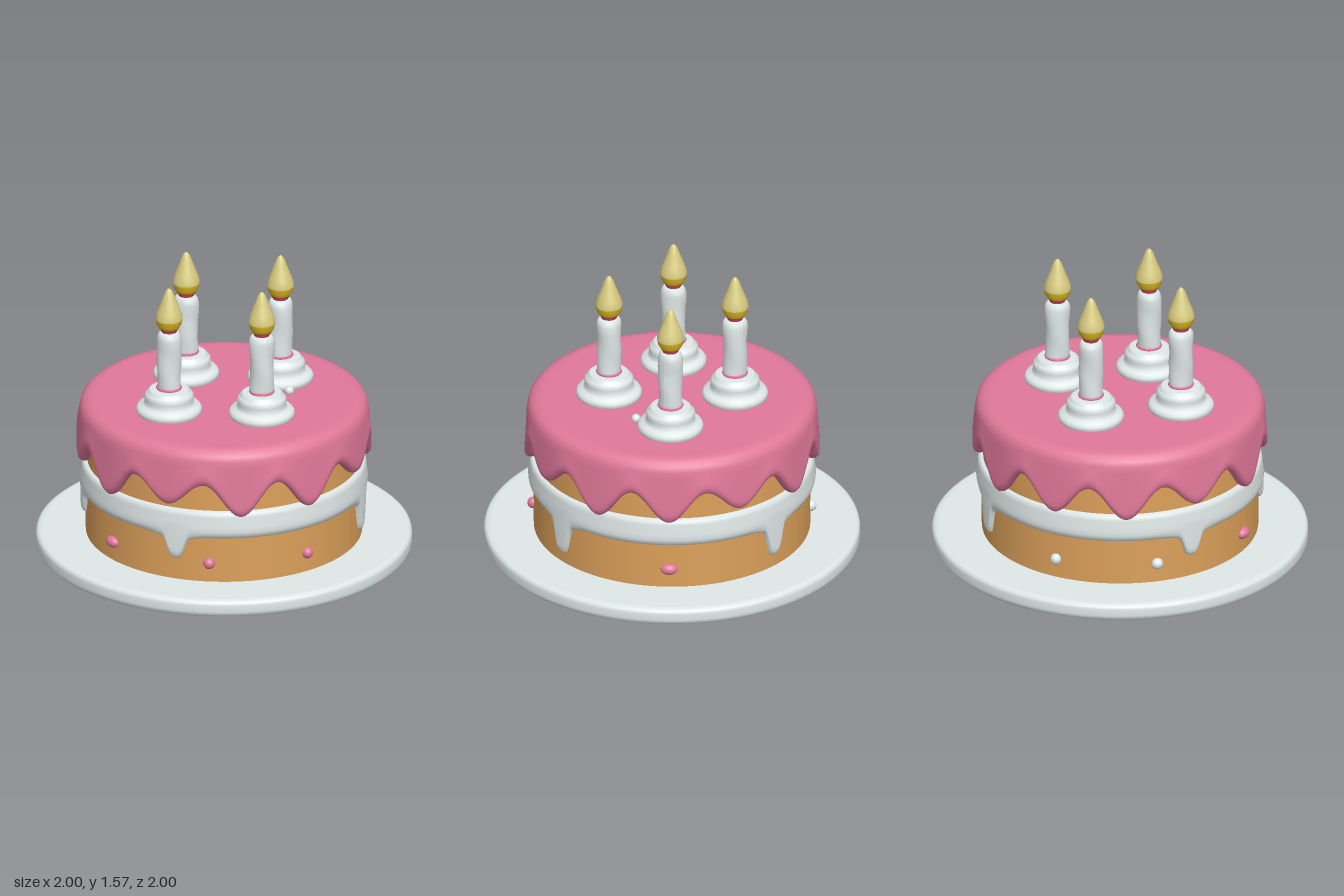
import * as THREE from 'three';

const mat = (name, color) => {
  const m = new THREE.MeshStandardMaterial({ color });
  m.name = name;
  return m;
};
const white = mat('cream white', 0xdfe7e7);
const pink = mat('frosting pink', 0xe0789a);
const sponge = mat('sponge orange', 0xdca05a);
const paleFlame = mat('pale flame', 0xd8cc80);
const yellow = mat('flame yellow', 0xe0bc20);
const red = mat('wick red', 0xd85060);

const rad = THREE.MathUtils.degToRad;

function add(parent, name, geometry, material) {
  const mesh = new THREE.Mesh(geometry, material);
  mesh.name = name;
  parent.add(mesh);
  return mesh;
}

// Turned solid; profile runs from bottom to top as [radius, height]
function turned(profile, segments = 48) {
  return new THREE.LatheGeometry(profile.map(([r, y]) => new THREE.Vector2(r, y)), segments);
}

// Ring of cross-sections whose profile (top to bottom) depends on the angle
function draped(profileAt, cols = 288) {
  const pos = [], index = [];
  let rows = 0;
  for (let j = 0; j < cols; j++) {
    const t = (j / cols) * Math.PI * 2;
    const profile = profileAt(t);
    rows = profile.length;
    for (const [r, y] of profile) pos.push(r * Math.sin(t), y, r * Math.cos(t));
  }
  for (let j = 0; j < cols; j++) {
    const k = (j + 1) % cols;
    for (let i = 0; i < rows - 1; i++) {
      const a = j * rows + i, b = a + 1, c = k * rows + i, d = c + 1;
      index.push(a, b, c, b, d, c);
    }
  }
  const g = new THREE.BufferGeometry();
  g.setAttribute('position', new THREE.Float32BufferAttribute(pos, 3));
  g.setIndex(index);
  g.computeVertexNormals();
  return g;
}

// Lower edge of the pink frosting: twelve rounded lobes of varied length
const lobeEnds = [0.48, 0.53, 0.475, 0.48, 0.54, 0.48, 0.49, 0.53, 0.48, 0.49, 0.48, 0.52];
function frostingEdge(t) {
  const u = (t / (Math.PI * 2)) * 12;
  const lobe = lobeEnds[Math.round(u) % 12];
  const wave = 0.5 + 0.5 * Math.cos(u * Math.PI * 2);
  return 0.655 - (0.655 - lobe) * wave;
}

// Lower edge of the cream band: four drips with flared roots [angle, length]
const drips = [[33, 0.13], [130, 0.19], [228, 0.18], [328, 0.13]];
function creamEdge(t) {
  let y = 0.345;
  for (const [angle, length] of drips) {
    let d = t - rad(angle);
    d = Math.abs(Math.atan2(Math.sin(d), Math.cos(d)));
    y -= length * (0.78 * Math.exp(-Math.pow(d / 0.07, 4)) + 0.22 * Math.exp(-Math.pow(d / 0.13, 2)));
  }
  return y;
}

function makeCandle(x, z, turn) {
  const g = new THREE.Group();
  g.name = 'candle';
  // Stepped cream swirl
  add(g, 'candleBase', turned([
    [0.165, 0.85], [0.175, 0.865], [0.175, 0.882], [0.165, 0.896], [0.14, 0.905], [0.128, 0.915],
    [0.13, 0.94], [0.13, 0.96], [0.12, 0.97], [0.112, 0.975], [0.11, 0.985], [0.1, 0.992], [0, 0.993],
  ]), white);
  add(g, 'candleRing', turned([[0.066, 0.99], [0.069, 0.997], [0.066, 1.006], [0.05, 1.008]], 32), pink);
  // Slightly lumpy wax
  const wax = turned([
    [0.062, 0.99], [0.064, 1.03], [0.062, 1.08], [0.065, 1.13], [0.063, 1.18], [0.066, 1.23],
    [0.067, 1.28], [0.062, 1.305], [0.05, 1.32], [0, 1.322],
  ], 32);
  const p = wax.attributes.position;
  for (let i = 0; i < p.count; i++) {
    const a = Math.atan2(p.getX(i), p.getZ(i));
    const s = 1 + 0.04 * Math.sin(2 * a + p.getY(i) * 24);
    p.setX(i, p.getX(i) * s);
    p.setZ(i, p.getZ(i) * s);
  }
  wax.computeVertexNormals();
  add(g, 'candleWax', wax, white);
  add(g, 'wick', turned([[0.04, 1.31], [0.041, 1.322], [0.054, 1.345]], 32), red);
  add(g, 'flameBase', turned([[0.054, 1.345], [0.066, 1.365], [0.072, 1.393]], 32), yellow);
  add(g, 'flame', turned([
    [0.072, 1.393], [0.071, 1.41], [0.062, 1.44], [0.048, 1.475], [0.035, 1.51], [0.021, 1.548],
    [0.01, 1.564], [0, 1.57],
  ], 32), paleFlame);
  g.position.set(x, 0, z);
  g.rotation.y = turn;
  return g;
}

export function createModel() {
  const model = new THREE.Group();
  model.name = 'birthdayCake';

  add(model, 'plate', turned([
    [0, 0], [0.96, 0], [0.985, 0.002], [0.997, 0.014], [1, 0.03], [1, 0.065], [0.996, 0.08],
    [0.984, 0.09], [0.96, 0.093], [0, 0.093],
  ], 96), white);

  add(model, 'spongeLower', new THREE.CylinderGeometry(0.735, 0.735, 0.36, 96, 1, true), sponge).position.y = 0.27;
  add(model, 'spongeUpper', new THREE.CylinderGeometry(0.724, 0.728, 0.32, 96, 1, true), sponge).position.y = 0.6;

  add(model, 'creamBand', draped((t) => {
    const b = creamEdge(t);
    return [[0.715, 0.5], [0.742, 0.5], [0.753, 0.49], [0.757, 0.47], [0.759, 0.44], [0.764, 0.41],
      [0.764, Math.min(0.385, b + 0.05)], [0.761, b + 0.025], [0.75, b + 0.006], [0.73, b]];
  }, 360), white);

  add(model, 'frosting', draped((t) => {
    const b = frostingEdge(t);
    return [[0, 0.857], [0.4, 0.857], [0.68, 0.857], [0.715, 0.853], [0.742, 0.842], [0.76, 0.822], [0.768, 0.795],
      [0.773, 0.76], [0.782, b + 0.075], [0.785, b + 0.045], [0.78, b + 0.02], [0.765, b + 0.004],
      [0.745, b], [0.72, b + 0.008]];
  }), pink);

  // Candles in a cross
  [[0, 0.365], [0.335, 0], [0, -0.375], [-0.335, 0]].forEach(([x, z], i) => model.add(makeCandle(x, z, i * 1.3)));

  // Small dab of cream beside the back candle
  const dab = add(model, 'creamDab', new THREE.SphereGeometry(0.025, 16, 12), white);
  dab.position.set(0.185, 0.87, -0.295);

  // Sugar pearls around the lower layer: angle, width, material
  [[0, 0.045, pink], [47, 0.032, pink], [90, 0.03, pink], [180, 0.045, pink], [-47, 0.032, white], [-90, 0.03, white]]
    .forEach(([angle, width, material]) => {
      const pearl = add(model, 'sugarPearl', new THREE.SphereGeometry(1, 20, 14), material);
      const a = rad(angle);
      pearl.scale.set(width, 0.031, 0.031);
      pearl.position.set(0.738 * Math.sin(a), 0.2, 0.738 * Math.cos(a));
      pearl.rotation.y = a;
    });

  return model;
}
